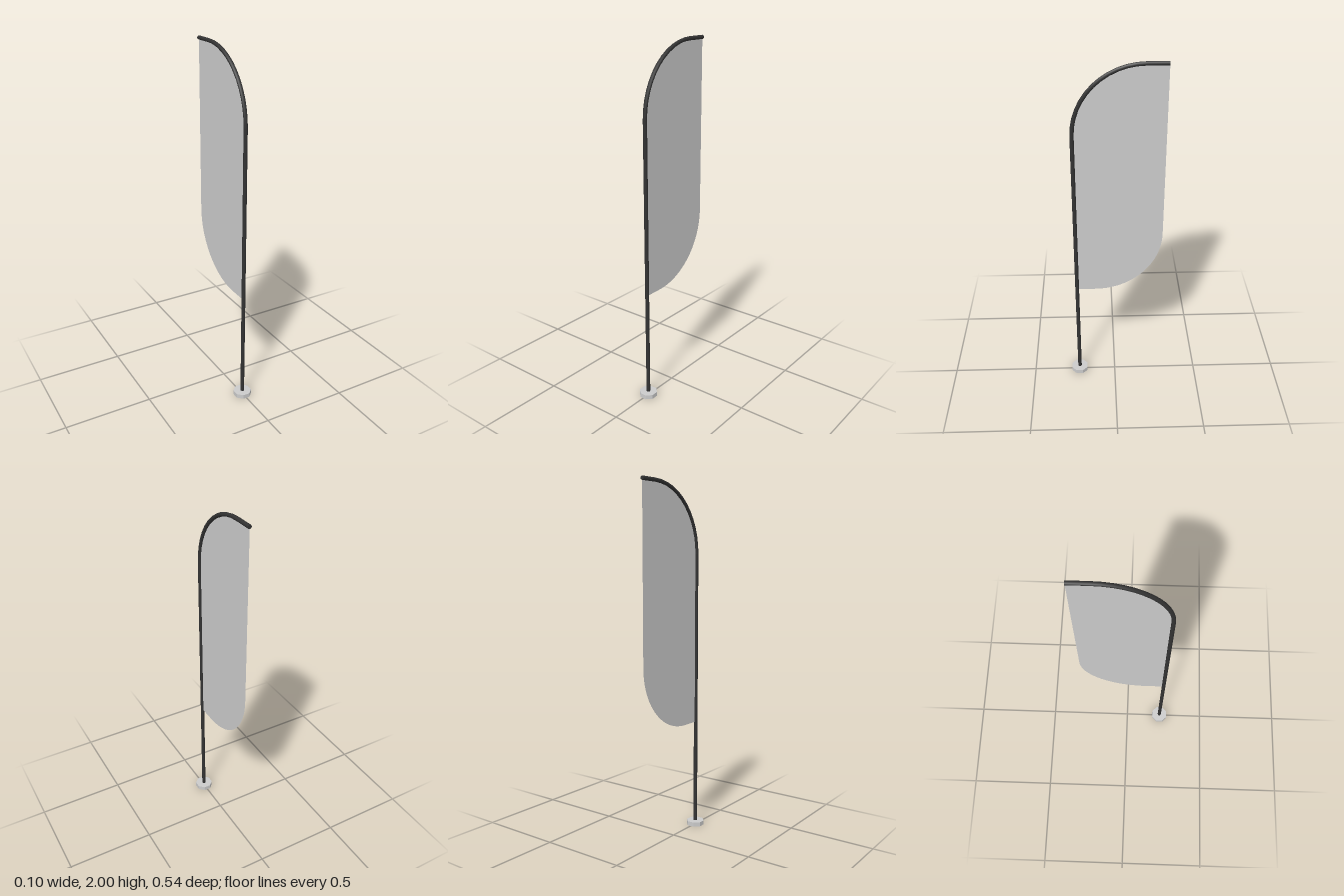
import * as THREE from 'three';

const POLE_Z = 0.22, TIP_Z = -0.268, BEND = 0.378, BEND_Y = 1.611;
const POLE_R = 0.011, ARC_STEPS = 12;

// Centre line of the pole: straight up, a quarter-circle bend, then level to the tip.
class PoleCurve extends THREE.Curve {
  getPointAt(u, target = new THREE.Vector3()) {
    const i = Math.round(u * (ARC_STEPS + 2));
    if (i === 0) return target.set(0, 0.01, POLE_Z);
    if (i === ARC_STEPS + 2) return target.set(0, BEND_Y + BEND, TIP_Z);
    const a = this.angle(u);
    return target.set(0, BEND_Y + BEND * Math.sin(a), POLE_Z - BEND * (1 - Math.cos(a)));
  }
  getPoint(t, target) { return this.getPointAt(t, target); }
  getTangentAt(u, target = new THREE.Vector3()) {
    const a = this.angle(u);
    return target.set(0, Math.cos(a), -Math.sin(a));
  }
  angle(u) {
    const i = Math.round(u * (ARC_STEPS + 2)) - 1;
    return THREE.MathUtils.clamp(i / ARC_STEPS, 0, 1) * Math.PI / 2;
  }
}

export function createModel() {
  const group = new THREE.Group();
  const grey = new THREE.MeshStandardMaterial({ color: 0xcccccc, flatShading: true });
  const cloth = new THREE.MeshStandardMaterial({ color: 0xcccccc, side: THREE.DoubleSide });
  const dark = new THREE.MeshStandardMaterial({ color: 0x333333 });

  const add = (name, geometry, material) => {
    const mesh = new THREE.Mesh(geometry, material);
    mesh.name = name;
    group.add(mesh);
    return mesh;
  };

  // Octagonal foot
  const foot = new THREE.CylinderGeometry(0.052, 0.052, 0.025, 8);
  foot.rotateY(Math.PI / 8);
  add('base', foot, grey).position.set(0, 0.0125, POLE_Z);

  // Bent pole with a closed tip
  add('pole', new THREE.TubeGeometry(new PoleCurve(), ARC_STEPS + 2, POLE_R, 8), dark);
  const cap = add('poleTip', new THREE.CircleGeometry(POLE_R, 8), dark);
  cap.position.set(0, BEND_Y + BEND, TIP_Z);
  cap.rotation.y = Math.PI;

  // Flag sheet, drawn with its horizontal axis pointing along -z
  const left = -POLE_Z, right = -TIP_Z, low = 0.632;
  const sheet = new THREE.Shape();
  sheet.moveTo(left, low);
  sheet.lineTo(right - BEND, low);
  sheet.absarc(right - BEND, low + BEND, BEND, -Math.PI / 2, 0, false);
  sheet.lineTo(right, BEND_Y + BEND);
  sheet.lineTo(left + BEND, BEND_Y + BEND);
  sheet.absarc(left + BEND, BEND_Y, BEND, Math.PI / 2, Math.PI, false);
  sheet.closePath();
  const flag = new THREE.ShapeGeometry(sheet, ARC_STEPS);
  flag.rotateY(Math.PI / 2);
  add('flag', flag, cloth);

  return group;
}
